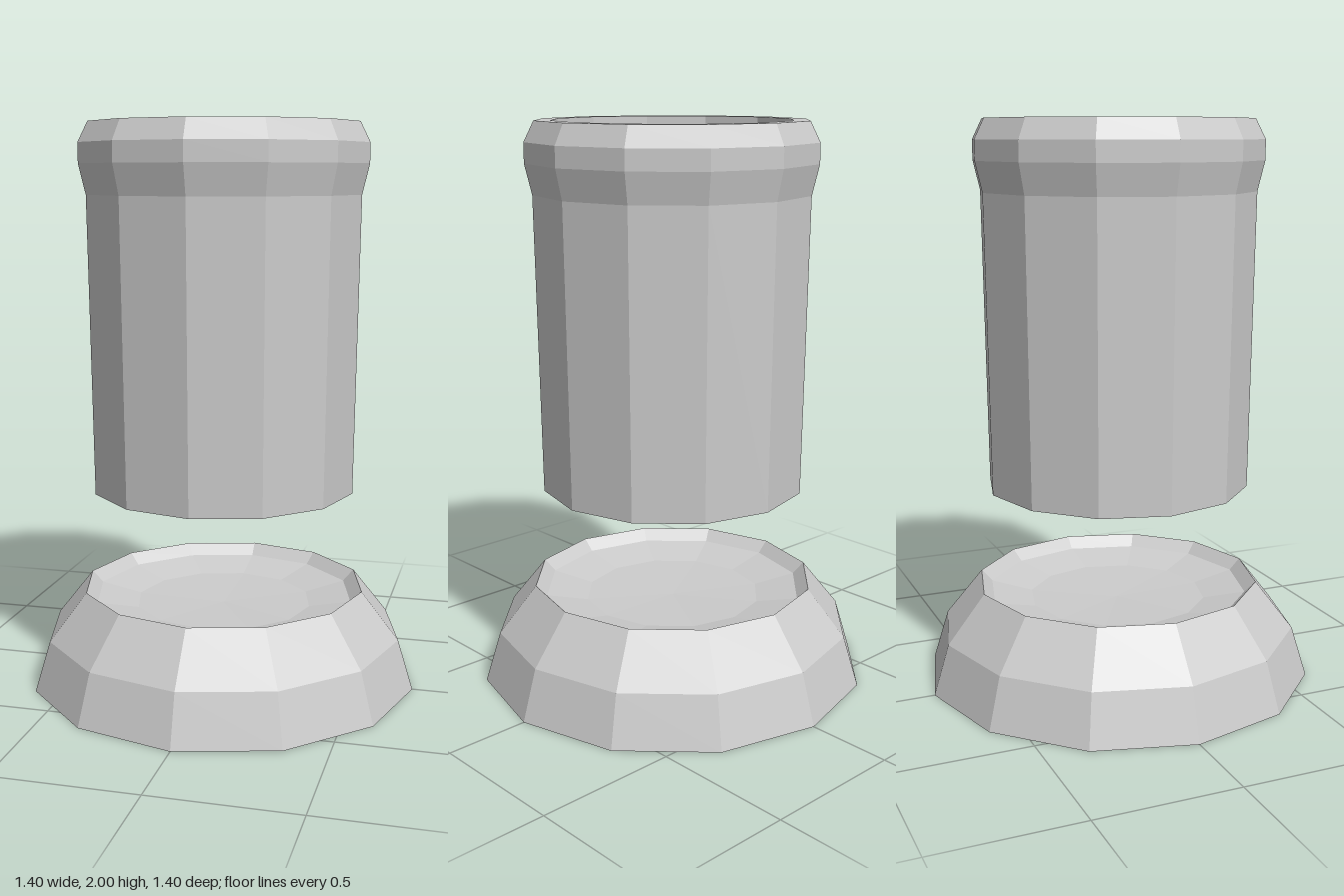
import * as THREE from 'three';

const SIDES = 12;

// Faceted solid of revolution; profile runs from the bottom centre, up the outside, and back in.
function turned(name, profile, material) {
  const points = profile.map(([r, y]) => new THREE.Vector2(r, y));
  const mesh = new THREE.Mesh(new THREE.LatheGeometry(points, SIDES), material);
  mesh.name = name;
  return mesh;
}

export function createModel() {
  const group = new THREE.Group();
  group.name = 'cupAndBase';
  const grey = new THREE.MeshStandardMaterial({ color: 0xcccccc, flatShading: true });

  // Wide foot with a shallow dished top
  group.add(turned('base', [
    [0, 0], [0.7, 0], [0.645, 0.18], [0.51, 0.35],
    [0.47, 0.31], [0.32, 0.28], [0, 0.27],
  ], grey));

  // Separate open cup with a bulging lip, hollow inside
  group.add(turned('cup', [
    [0, 0.71], [0.47, 0.71], [0.485, 1.755], [0.51, 1.86], [0.51, 1.93],
    [0.475, 2], [0.42, 2], [0.42, 0.79], [0, 0.79],
  ], grey));

  return group;
}
